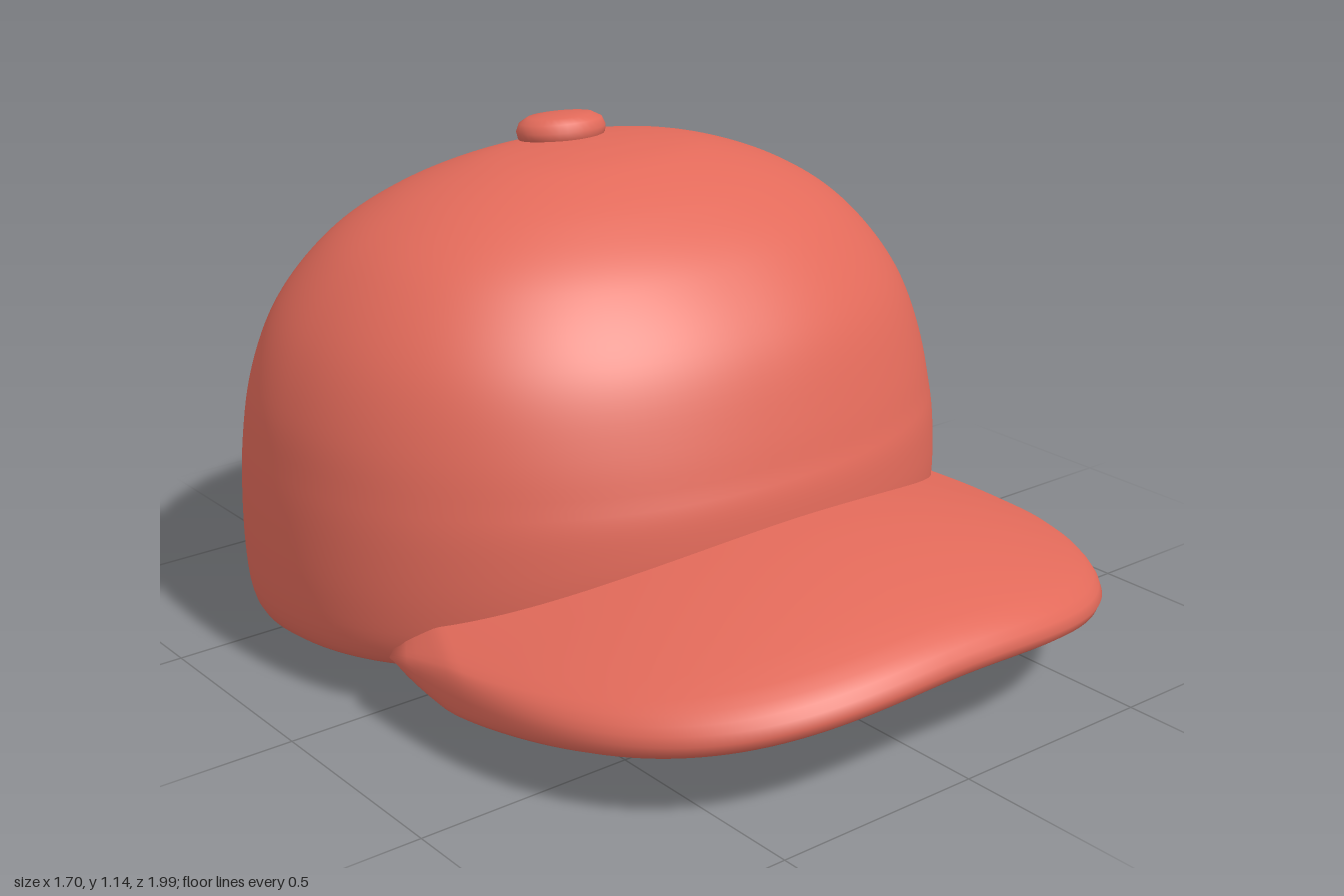
import * as THREE from 'three';
import { mergeVertices } from 'three/addons/utils/BufferGeometryUtils.js';

const CZ = -0.27; // crown centre
const material = new THREE.MeshStandardMaterial({ color: 0xe26a5a });

const signedPow = (v, p) => Math.sign(v) * Math.pow(Math.abs(v), p);

// Smooth surface through a rows x cols grid of points; optionally closed around.
function loft(rows, cols, closed, pointAt) {
  const pos = [], index = [];
  for (let i = 0; i < rows; i++)
    for (let j = 0; j < cols; j++) pos.push(...pointAt(i, j));
  for (let i = 0; i < rows - 1; i++)
    for (let j = 0; j < (closed ? cols : cols - 1); j++) {
      const k = (j + 1) % cols;
      const a = i * cols + j, b = i * cols + k, c = a + cols, d = b + cols;
      index.push(a, b, c, b, d, c);
    }
  let geo = new THREE.BufferGeometry();
  geo.setAttribute('position', new THREE.Float32BufferAttribute(pos, 3));
  geo.setIndex(index);
  geo = mergeVertices(geo, 1e-5);
  geo.computeVertexNormals();
  return geo;
}

function add(group, name, geo) {
  const mesh = new THREE.Mesh(geo, material);
  mesh.name = name;
  group.add(mesh);
  return mesh;
}

// Soft-edged rectangle mask: 1 inside, 0 outside.
function softBox(x, y, halfW, y0, y1, soft) {
  const dx = halfW - Math.abs(x), dy = Math.min(y - y0, y1 - y);
  return THREE.MathUtils.smoothstep(Math.min(dx, dy), 0, soft);
}

// Lower edge of the crown rises to the front.
function rimHeight(z) {
  return 0.115 * Math.max(0, z + 0.95) - 0.004 + 0.07 * Math.pow(Math.max(0, (z - 0.1) / 0.35), 1.5);
}

// Crown: [height, width factor, depth factor] from the outer top, round the rim,
// up the inner band and over the low lining.
function crownGeometry() {
  const profile = new THREE.CatmullRomCurve3([
    [1.095, 0, 0], [1.09, 0.16, 0.13], [1.07, 0.35, 0.28], [1.0, 0.59, 0.5], [0.9, 0.765, 0.69],
    [0.75, 0.9, 0.855], [0.6, 0.965, 0.935], [0.45, 0.99, 0.985], [0.3, 1, 1], [0.17, 1, 1],
    [0.07, 0.99, 0.99], [0.02, 0.97, 0.975], [0, 0.94, 0.945], [0.02, 0.905, 0.905], [0.1, 0.89, 0.89],
    [0.23, 0.89, 0.89], [0.32, 0.85, 0.85], [0.39, 0.74, 0.74], [0.45, 0.5, 0.5], [0.49, 0.25, 0.25],
    [0.5, 0, 0],
  ].map((p) => new THREE.Vector3(...p)), false, 'centripetal');
  const rows = 140, cols = 200, power = 2 / 2.15;
  const pts = profile.getSpacedPoints(rows - 1);
  const rim = pts.reduce((best, p, i) => (p.x < pts[best].x ? i : best), 0);
  return loft(rows, cols, true, (i, j) => {
    const t = (j / cols) * Math.PI * 2, p = pts[i];
    const c = signedPow(Math.cos(t), power), s = signedPow(Math.sin(t), power);
    let x = 0.85 * p.y * c;
    let z = CZ + (s > 0 ? 0.725 : 0.7) * p.z * s;
    const y = p.x + rimHeight(z) * Math.max(0, 1 - p.x / 0.5);
    // raised back panel with a sunken window
    if (i < rim && s < 0) {
      const push = 0.027 * softBox(x, y, 0.42, 0.005, 0.465, 0.045) - 0.045 * softBox(x, y, 0.17, 0.16, 0.37, 0.035);
      x += push * c;
      z += push * s;
    }
    return [x, y, z];
  });
}

// Brim: rounded section swept between the crown wall and a squarish outline.
function brimGeometry() {
  const half = [[0, 1], [0.15, 1], [0.3, 1], [0.45, 1], [0.6, 1], [0.75, 0.98],
    [0.86, 0.92], [0.92, 0.8], [0.96, 0.6], [0.985, 0.36]];
  const section = [...half.map(([v, t]) => [v, 0.048 * t]), [1, 0],
    ...half.slice().reverse().map(([v, t]) => [v, -0.066 * t])];
  const cols = 121, start = 0.44, power = 2 / 2.8;
  return loft(section.length, cols, false, (i, j) => {
    const [v, off] = section[i];
    const u = j / (cols - 1), a = u * Math.PI, b = start + u * (Math.PI - 2 * start);
    const s = Math.max(0, Math.sin(a));
    const outX = 0.79 * signedPow(Math.cos(a), power);
    const outZ = 0.06 + 0.937 * Math.pow(s, power);
    const inX = 0.85 * 0.96 * Math.cos(b), inZ = CZ + 0.72 * 0.96 * Math.sin(b);
    const x = inX + (outX - inX) * v, z = inZ + (outZ - inZ) * v;
    const mid = 0.348 - 0.085 * Math.pow(Math.max(0, z - 0.4) / 0.58, 2) - 0.19 * Math.pow(x / 0.78, 2);
    return [x, mid + off * Math.sqrt(Math.min(1, s * 7)), z];
  });
}

export function createModel() {
  const cap = new THREE.Group();
  cap.name = 'cap';
  add(cap, 'crown', crownGeometry());
  add(cap, 'brim', brimGeometry());

  // Button on top, leaning slightly back
  const outline = [[0, -0.03], [0.09, -0.03], [0.107, 0], [0.11, 0.015], [0.102, 0.034], [0.08, 0.046], [0.04, 0.051], [0, 0.052]];
  const button = add(cap, 'topButton', new THREE.LatheGeometry(outline.map((p) => new THREE.Vector2(...p)), 32));
  button.position.set(0, 1.088, -0.38);
  button.rotation.x = -0.1;
  button.scale.z = 0.85;
  return cap;
}
